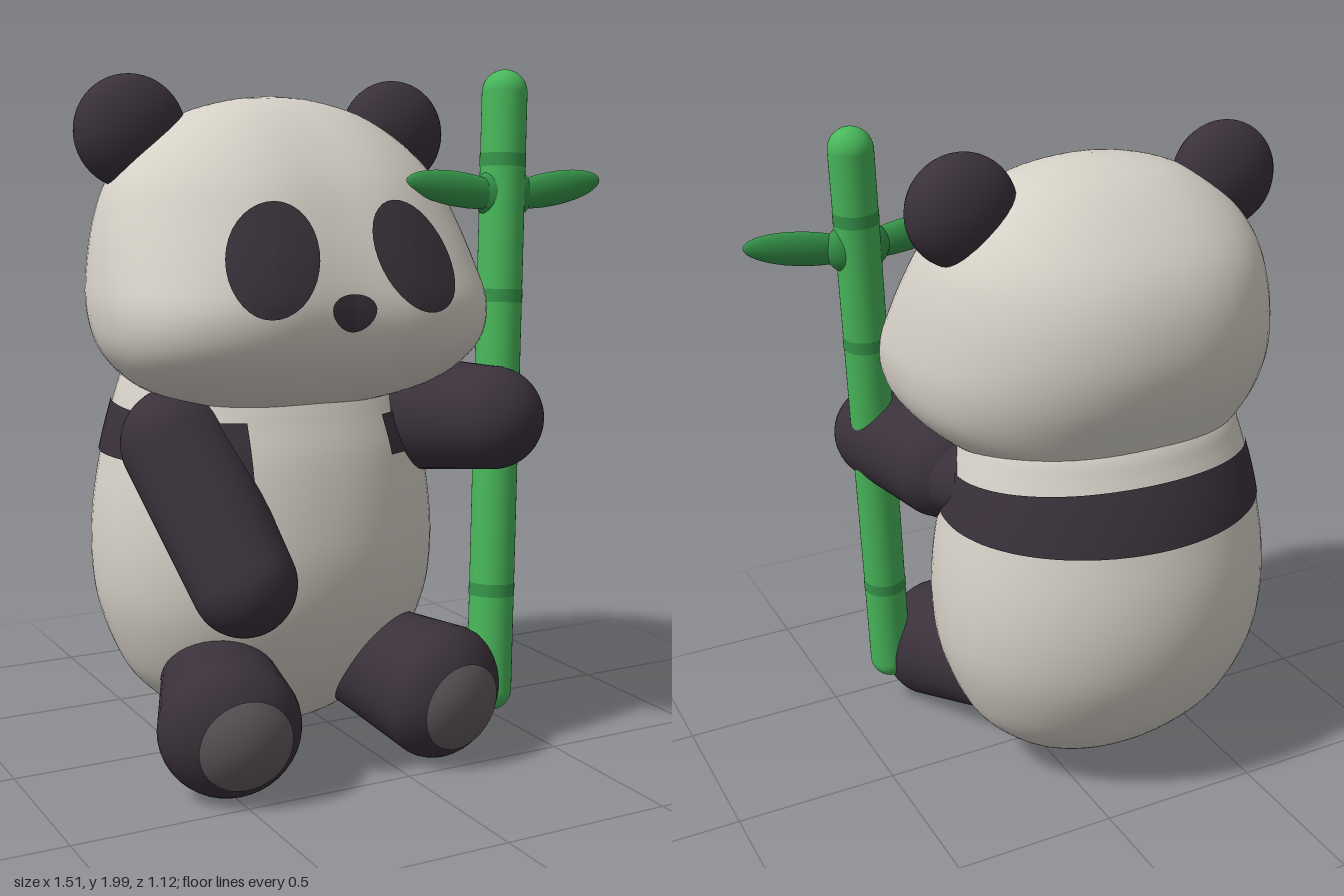
import * as THREE from 'three';
import { mergeVertices } from 'three/addons/utils/BufferGeometryUtils.js';

const mat = (name, color) => Object.assign(new THREE.MeshStandardMaterial({ color }), { name });
const V = (x, y, z) => new THREE.Vector3(x, y, z);

// Surface from a function of u and v in 0..1, with seams and poles welded
function grid(nu, nv, fn) {
  const pos = [], idx = [];
  for (let j = 0; j <= nv; j++)
    for (let i = 0; i <= nu; i++) pos.push(...fn(i / nu, j / nv).toArray());
  for (let j = 0; j < nv; j++)
    for (let i = 0; i < nu; i++) {
      const a = j * (nu + 1) + i, b = a + nu + 1;
      idx.push(a, a + 1, b + 1, a, b + 1, b);
    }
  let g = new THREE.BufferGeometry();
  g.setAttribute('position', new THREE.Float32BufferAttribute(pos, 3));
  g.setIndex(idx);
  g = mergeVertices(g, 1e-5);
  g.computeVertexNormals();
  return g;
}

// Rounded volume from rows of [y, half width, front z, back z, z of the widest point, front squareness]
function loft(rows, backPower, dip) {
  const c1 = new THREE.CatmullRomCurve3(rows.map(r => V(r[0], r[1], r[2])), false, 'catmullrom');
  const c2 = new THREE.CatmullRomCurve3(rows.map(r => V(r[3], r[4], r[5])), false, 'catmullrom');
  return grid(72, 56, (u, v) => {
    const p = c1.getPoint(v), q = c2.getPoint(v), a = u * Math.PI * 2;
    const s = Math.sin(a), c = Math.cos(a), e = 2 / (c > 0 ? q.z : backPower);
    const x = p.y * Math.sign(s) * Math.abs(s) ** e;
    let z = q.y + (c > 0 ? p.z - q.y : q.y - q.x) * Math.sign(c) * Math.abs(c) ** e;
    if (c > 0) z -= dip * p.y * c * c * Math.exp(-((x / 0.15) ** 2));
    return V(x, p.x, z);
  });
}

// Thin painted patch laid on a mesh by casting rays; rayFn gives [origin, direction]
function drape(target, nu, nv, rayFn) {
  target.updateMatrixWorld(true);
  const ray = new THREE.Raycaster();
  return grid(nu, nv, (u, v) => {
    const [o, d] = rayFn(u, v);
    ray.set(o, d.normalize());
    const hit = ray.intersectObject(target)[0];
    return (hit ? hit.point : o.clone().addScaledVector(d, 1.6)).addScaledVector(d, -0.006);
  });
}

// Tapered capsule from a to b; flat squashes the far dome
function limb(name, a, b, r1, r2, material, flat = 1) {
  const L = a.distanceTo(b), pts = [];
  for (let i = 0; i <= 12; i++) {
    const t = (i / 12 - 1) * Math.PI / 2;
    pts.push(new THREE.Vector2(Math.max(0, r1 * Math.cos(t)), r1 * Math.sin(t)));
  }
  for (let i = 0; i <= 12; i++) {
    const t = i / 12 * Math.PI / 2;
    pts.push(new THREE.Vector2(Math.max(0, r2 * Math.cos(t)), L + r2 * flat * Math.sin(t)));
  }
  const m = new THREE.Mesh(new THREE.LatheGeometry(pts, 40), material);
  m.name = name;
  m.position.copy(a);
  m.quaternion.setFromUnitVectors(V(0, 1, 0), b.clone().sub(a).normalize());
  return m;
}

export function createModel() {
  const white = mat('cream fur', 0xd6d1c7), dark = mat('dark fur', 0x3a313a);
  const grey = mat('foot pad', 0x625a5d);
  const green = mat('bamboo green', 0x48b75a), deep = mat('leaf green', 0x36954a);
  const model = new THREE.Group(), bear = new THREE.Group();
  bear.name = 'bear';
  bear.position.x = -0.175;
  model.add(bear);
  const add = (parent, name, geo, material) => {
    const m = new THREE.Mesh(geo, material);
    m.name = name;
    parent.add(m);
    return m;
  };

  // Body, with a broad neck
  const body = add(bear, 'body', loft([
    [0.04, 0, -0.1, -0.1], [0.055, 0.14, 0.02, -0.18], [0.1, 0.27, 0.11, -0.28],
    [0.2, 0.393, 0.21, -0.39], [0.3, 0.458, 0.28, -0.464], [0.45, 0.51, 0.34, -0.53],
    [0.6, 0.525, 0.36, -0.555], [0.75, 0.517, 0.35, -0.548], [0.9, 0.492, 0.325, -0.515],
    [1.0, 0.468, 0.295, -0.483], [1.1, 0.44, 0.26, -0.44], [1.17, 0.41, 0.22, -0.408],
    [1.25, 0.32, 0.13, -0.33], [1.32, 0, -0.1, -0.1]].map(r => [...r, -0.1, 2.1]), 2, 0), white);

  // Dark band round the back and shoulders
  add(bear, 'shoulderBand', drape(body, 90, 8, (u, v) => {
    const a = 0.55 + u * (Math.PI * 2 - 1.1), top = 1.045 - 0.035 * Math.cos(a);
    const y = 0.9 + v * (top - 0.9), s = Math.sin(a), c = Math.cos(a);
    return [V(2 * s, y, -0.1 + 2 * c), V(-s, 0, -c)];
  }), dark);

  // Dark fur on the chest beside the hanging arm
  add(bear, 'chestPatch', drape(body, 8, 12, (u, v) =>
    [V(-0.4 + u * 0.19, 0.72 + v * 0.3, 2), V(0, 0, -1)]), dark);

  // Head: square cheeks below, round forehead above
  const head = add(bear, 'head', loft([
    [1.03, 0, 0.04, 0.04, 0.04, 2], [1.042, 0.22, 0.2, -0.2, 0.04, 2.1], [1.075, 0.365, 0.32, -0.31, 0.06, 2.3],
    [1.13, 0.47, 0.41, -0.385, 0.09, 2.6], [1.22, 0.547, 0.485, -0.43, 0.1, 2.8], [1.33, 0.573, 0.51, -0.475, 0.1, 2.7],
    [1.45, 0.562, 0.485, -0.495, 0.08, 2.3], [1.58, 0.533, 0.43, -0.478, 0.05, 2.05], [1.69, 0.487, 0.365, -0.425, 0.02, 2],
    [1.79, 0.4, 0.275, -0.33, -0.01, 2], [1.87, 0.275, 0.17, -0.22, -0.02, 2], [1.912, 0.13, 0.07, -0.11, -0.02, 2],
    [1.925, 0, -0.02, -0.02, -0.02, 2]], 2.2, 0.045), white);

  // Eye patches and nose
  for (const s of [-1, 1]) {
    add(bear, s > 0 ? 'leftEyePatch' : 'rightEyePatch', drape(head, 8, 36, (r, v) => {
      const a = v * Math.PI * 2, p = 0.121 * r * Math.cos(a), q = 0.16 * r * Math.sin(a);
      const k = 0.48 * s;
      return [V(s * 0.214 + p * Math.cos(k) - q * Math.sin(k), 1.48 + p * Math.sin(k) + q * Math.cos(k), 2), V(0, 0, -1)];
    }), dark);
  }
  add(bear, 'nose', drape(head, 5, 28, (r, v) => {
    const a = v * Math.PI * 2, y = r * Math.sin(a);
    return [V(0.066 * r * Math.cos(a) * (1 + 0.18 * y), 1.335 + 0.051 * y, 2), V(0, 0, -1)];
  }), dark);

  // Ears, legs and foot pads
  for (const s of [-1, 1]) {
    const side = s > 0 ? 'left' : 'right';
    const ear = add(bear, side + 'Ear', new THREE.SphereGeometry(0.16, 32, 24), dark);
    ear.scale.set(1.02, 1, 0.7);
    ear.position.set(s * 0.422, 1.82, -0.052);

    const leg = limb(side + 'Leg', V(s * 0.25, 0.25, 0.12), V(s * 0.335, 0.21, 0.4), 0.163, 0.199, dark, 0.75);
    bear.add(leg);
    add(bear, side + 'FootPad', drape(leg, 6, 36, (r, v) => {
      const a = v * Math.PI * 2;
      return [V(s * 0.338 + 0.13 * r * Math.cos(a), 0.195 + 0.13 * r * Math.sin(a), 2), V(0, 0, -1)];
    }), grey);
  }

  // Arms: one hanging, one gripping the stalk with its shoulder tapering backwards
  bear.add(limb('rightArm', V(-0.35, 0.95, 0.09), V(-0.27, 0.595, 0.36), 0.162, 0.147, dark));
  bear.add(limb('leftArm', V(0.41, 0.99, 0.14), V(0.502, 1.005, 0.4), 0.17, 0.15, dark));
  bear.add(limb('leftShoulder', V(0.385, 0.975, -0.06), V(0.41, 0.99, 0.14), 0.09, 0.168, dark));

  // Bamboo stalk with node rings
  const bamboo = new THREE.Group();
  bamboo.name = 'bamboo';
  model.add(bamboo);
  const foot = V(0.335, 0.19, 0.395), tip = V(0.43, 1.935, 0.285);
  const stalk = limb('stalk', foot, tip, 0.066, 0.066, green);
  bamboo.add(stalk);
  for (const y of [0.49, 1.35, 1.74]) {
    const ring = add(bamboo, 'nodeRing', new THREE.CylinderGeometry(0.0672, 0.0672, 0.038, 40, 1, true), deep);
    ring.position.lerpVectors(foot, tip, (y - foot.y) / (tip.y - foot.y));
    ring.quaternion.copy(stalk.quaternion);
  }

  // Leaves and the swelling where they join the stalk
  for (const s of [-1, 1]) {
    const leaf = add(bamboo, s > 0 ? 'leftLeaf' : 'rightLeaf', new THREE.SphereGeometry(1, 28, 18), deep);
    leaf.scale.set(0.18, 0.05, 0.028);
    leaf.position.set(0.418 + s * 0.157, 1.658, 0.318);
    leaf.rotation.z = s * 0.15;
  }
  const joint = add(bamboo, 'leafJoint', new THREE.SphereGeometry(1, 28, 18), deep);
  joint.scale.set(0.1, 0.08, 0.05);
  joint.position.set(0.416, 1.645, 0.307);
  return model;
}
